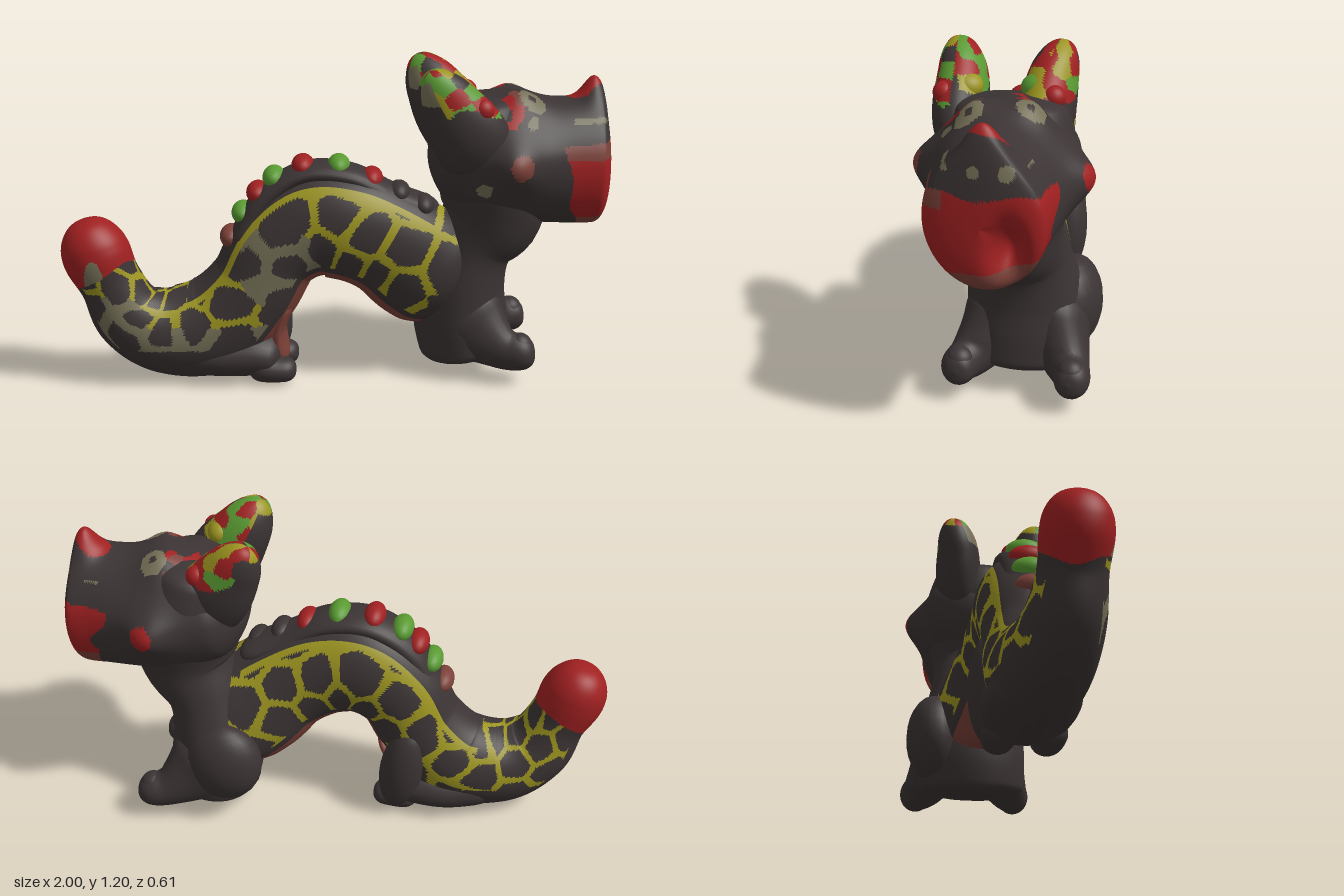
import * as THREE from 'three';

const palette = [
  ['charcoal', 0x3c3434], ['red', 0xa02021], ['yellow', 0x9d9520],
  ['green', 0x5a9a32], ['khaki', 0x757057], ['rust', 0x7c4138],
];
const [DARK, RED, YELLOW, GREEN, KHAKI, RUST] = [0, 1, 2, 3, 4, 5];

const hash = (i, j, k = 0) => {
  const s = Math.sin(i * 127.1 + j * 311.7 + k * 74.7) * 43758.5453;
  return s - Math.floor(s);
};
const bump = (a, b, ca, cb, ra, rb = ra) => Math.exp(-(((a - ca) / ra) ** 2) - ((b - cb) / rb) ** 2);
const spot = (a, b, ca, cb, ra, rb = ra) => ((a - ca) / ra) ** 2 + ((b - cb) / rb) ** 2 < 1;

// Smooth interpolation through stations [x, y, z, radius in the xy plane, radius in z]
function sample(st, t) {
  const n = st.length - 1, i = Math.min(Math.floor(t), n - 1), f = t - i;
  const [p, a, b, q] = [st[Math.max(i - 1, 0)], st[i], st[i + 1], st[Math.min(i + 2, n)]];
  return a.map((v, k) => v + 0.5 * f * (b[k] - p[k] +
    f * (2 * p[k] - 5 * v + 4 * b[k] - q[k] + f * (3 * (v - b[k]) + q[k] - p[k]))));
}

// Round-ended sweep of an ellipse through the stations; warp may move each vertex
function sweep(st, nu, nv, cap = 0.5, warp = null) {
  const n = st.length - 1, pos = [], idx = [], par = [];
  const round = (d) => (d >= cap ? 1 : Math.sqrt(Math.max(0, 1 - (1 - d / cap) ** 2)));
  for (let i = 0; i <= nu; i++) {
    // rows gather towards both ends so the caps stay round
    const s = i / nu, t = n * (s - 0.07 * Math.sin(2 * Math.PI * s));
    const c = sample(st, t);
    const p = sample(st, Math.max(t - 0.05, 0)), q = sample(st, Math.min(t + 0.05, n));
    const len = Math.hypot(q[0] - p[0], q[1] - p[1]);
    const tx = (q[0] - p[0]) / len, ty = (q[1] - p[1]) / len;
    const r = round(t) * round(n - t);
    for (let j = 0; j < nv; j++) {
      const a = (j / nv) * 2 * Math.PI - Math.PI, h = Math.cos(a) * c[3] * r;
      const v = new THREE.Vector3(c[0] - ty * h, c[1] + tx * h, c[2] + Math.sin(a) * c[4] * r);
      if (warp) warp(v);
      pos.push(v.x, v.y, v.z);
      par.push([t, a]);
      const k = (j + 1) % nv;
      if (i < nu) {
        const A = i * nv + j, B = i * nv + k;
        idx.push(A, B, A + nv, B, B + nv, A + nv);
      }
    }
  }
  const g = new THREE.BufferGeometry();
  g.setAttribute('position', new THREE.Float32BufferAttribute(pos, 3));
  g.setIndex(idx);
  g.computeVertexNormals();
  g.userData.par = par;
  return g;
}

// Sort faces into one material group per colour, chosen by rule(centre, t, angle)
function paint(g, rule) {
  const bins = palette.map(() => []), ix = g.index.array, P = g.attributes.position, par = g.userData.par;
  const v = new THREE.Vector3(), c = new THREE.Vector3();
  for (let f = 0; f < ix.length; f += 3) {
    const a0 = par[ix[f]][1];
    let t = 0, a = 0;
    c.set(0, 0, 0);
    for (let k = 0; k < 3; k++) {
      const [tk, ak] = par[ix[f + k]];
      c.addScaledVector(v.fromBufferAttribute(P, ix[f + k]), 1 / 3);
      t += tk / 3;
      a += (Math.abs(ak - a0) > 3 ? a0 : ak) / 3;
    }
    bins[rule(c, t, a)].push(ix[f], ix[f + 1], ix[f + 2]);
  }
  let start = 0;
  bins.forEach((b, m) => {
    if (b.length) g.addGroup(start, b.length, m);
    start += b.length;
  });
  g.setIndex(bins.flat());
  return g;
}

// Nearest of a field of jittered cells: border gap and a random value for the cell
function cell(u, v) {
  let d1 = 9, d2 = 9, id = 0;
  const iu = Math.floor(u), iv = Math.floor(v);
  for (let i = iu - 2; i <= iu + 2; i++) for (let j = iv - 2; j <= iv + 2; j++) {
    const d = Math.hypot(i + 0.5 * (j & 1) + 0.5 + 0.5 * (hash(i, j) - 0.5) - u,
      j + 0.5 + 0.5 * (hash(i, j, 5) - 0.5) - v);
    if (d < d1) { d2 = d1; d1 = d; id = hash(i, j, 9); } else if (d < d2) d2 = d;
  }
  return { gap: d2 - d1, id };
}

// Trunk colours: red tail tip, netted flanks, plain back and rust belly
function trunkColour(p, t, a) {
  const w = Math.abs(a);
  if (p.x < -0.73 && p.y > 0.38 + (p.x + 0.93) * 0.6 + 0.015 * Math.sin(p.z * 30)) {
    return p.z > 0.2 && spot(p.x, p.y, -0.865, 0.43, 0.035, 0.085) ? KHAKI : RED;
  }
  if (t > 5 && p.x > -0.27 && p.x < 0.36 && w > 2.45) {
    return w > 2.8 && Math.abs(p.x - 0.02) < 0.12 ? KHAKI : RUST;
  }
  if (p.y < 0.16 || p.x > 0.52 || (p.x > 0.34 && p.y < 0.36)) return DARK;
  if (t > 4.6 && p.x < 0.36) {
    if (w < 0.7) return DARK;
    if (w < 0.82) return YELLOW;
  }
  if (w > 2.3) return DARK;
  const { gap } = cell(t * 1.05, (a * 0.17) / 0.14 + 20);
  const worn = p.z > 0.1 && (spot(p.x, p.y, -0.2, 0.48, 0.15, 0.16) || spot(p.x, p.y, -0.8, 0.24, 0.12, 0.14) || p.y < 0.25);
  if (gap > (worn ? 0.27 : 0.17)) return DARK;
  return worn ? KHAKI : YELLOW;
}

// Head shaping: cheeks, brows, peaked nose, narrow crown and a hollow mouth
function shapeHead(v) {
  if (v.y > 0.9) v.z *= 1 - (v.y - 0.9) * 0.5;
  v.z += Math.sign(v.z) * Math.min(1, Math.abs(v.z) / 0.1) * 0.065 * bump(v.x, v.y, 0.64, 0.86, 0.09);
  if (v.y > 0.9) {
    const up = Math.min(1, (v.y - 0.9) / 0.1);
    v.y += up * (0.085 * bump(v.x, v.z, 0.935, -0.02, 0.05, 0.07) +
      0.025 * bump(v.x, v.z, 0.63, -0.1, 0.06) + 0.025 * bump(v.x, v.z, 0.67, 0.09, 0.06));
  }
  if (v.x > 0.85) v.x -= 0.08 * bump(v.y, v.z, 0.74, -0.1, 0.09, 0.05);
}

// Head colours: red mouth, cheeks and nose, pale eyes and blotches on the crown
function headColour(p) {
  const edge = 0.012 * Math.sin(p.z * 25 + p.y * 19);
  if (p.x > 0.81 + (0.92 - p.y) * 0.2 + edge && p.y < 0.92 + edge && p.z > -0.215 + edge) {
    if (p.y < 0.66 - p.z * 0.25 + edge) return p.y > 0.6 ? RUST : DARK;
    if (p.z > 0.1 && p.y > 0.87) return RUST;
    return RED;
  }
  if (p.y > 1.035 && spot(p.x, p.z, 0.9, -0.025, 0.062, 0.06)) return RED;
  if (spot(p.x, p.y, 0.655, 0.865, 0.042, 0.045)) return p.z > 0 ? RUST : RED;
  if (p.y > 0.98) {
    for (const [x, z] of [[0.65, -0.1], [0.7, 0.09]]) {
      if (spot(p.x, p.z, x, z, 0.014)) return DARK;
      if (spot(p.x, p.z, x, z, 0.047)) return KHAKI;
    }
    if (spot(p.x, p.z, 0.55, -0.08, 0.065, 0.1) || spot(p.x, p.z, 0.62, 0.13, 0.05, 0.07)) {
      const { id } = cell(p.x * 22, p.z * 22);
      return id < 0.5 ? RED : id < 0.75 ? RUST : DARK;
    }
    if (spot(p.x, p.z, 0.52, 0.17, 0.03, 0.05)) return KHAKI;
  }
  if (p.x > 0.85) {
    for (const [z, rz, ry] of [[0, 0.02, 0.02], [-0.1, 0.026, 0.025], [0.11, 0.03, 0.01], [-0.17, 0.025, 0.01]]) {
      if (spot(p.z, p.y, z, 1.0, rz, ry)) return KHAKI;
    }
  }
  return p.z > 0 && (spot(p.x, p.y, 0.53, 0.77, 0.028) || spot(p.x, p.y, 0.7, 1.0, 0.02)) ? KHAKI : DARK;
}

// Ears: bright blotches on the front and top, pale patch on the outer side
function earColour(p, t, a) {
  if (p.y < 1.05 + 0.02 * Math.sin(a * 4)) return DARK;
  if (Math.cos(a) > 0.2 && t < 2.7) return p.y > 1.08 && Math.sin(a) > 0.5 ? KHAKI : DARK;
  const { id } = cell(t * 2.2 + (p.z > 0 ? 0 : 7), a * 1.3 + 20);
  return id < 0.33 ? RED : id < 0.64 ? YELLOW : id < 0.9 ? GREEN : DARK;
}

export function createModel() {
  const group = new THREE.Group();
  const mats = palette.map(([name, color]) => {
    const m = new THREE.MeshStandardMaterial({ color });
    m.name = name;
    return m;
  });
  const add = (name, geometry, material) => {
    const mesh = new THREE.Mesh(geometry, material);
    mesh.name = name;
    group.add(mesh);
    return mesh;
  };
  const ball = new THREE.SphereGeometry(1, 22, 14);
  const blob = (name, m, x, y, z, rx, ry, rz, tilt = 0) => {
    const b = add(name, ball, mats[m]);
    b.position.set(x, y, z);
    b.scale.set(rx, ry, rz);
    b.rotation.z = tilt;
  };

  // Arched trunk from tail tip to shoulders
  add('trunk', paint(sweep([
    [-0.905, 0.64, 0.18, 0.095, 0.1], [-0.875, 0.51, 0.18, 0.125, 0.12], [-0.825, 0.39, 0.17, 0.115, 0.115],
    [-0.76, 0.26, 0.15, 0.14, 0.135], [-0.63, 0.19, 0.12, 0.17, 0.155], [-0.45, 0.21, 0.1, 0.19, 0.165],
    [-0.31, 0.35, 0.095, 0.175, 0.16], [-0.22, 0.51, 0.09, 0.18, 0.16], [-0.09, 0.6, 0.085, 0.205, 0.16],
    [0.05, 0.595, 0.085, 0.21, 0.165], [0.19, 0.53, 0.06, 0.21, 0.17], [0.32, 0.43, 0.02, 0.23, 0.185],
    [0.48, 0.31, -0.03, 0.22, 0.2],
  ], 260, 110, 0.8), trunkColour), mats);

  // Dorsal knobs on a low ridge
  [[-0.385, 0.56, RUST], [-0.34, 0.65, GREEN], [-0.285, 0.725, RED], [-0.225, 0.782, GREEN], [-0.12, 0.825, RED],
    [0.01, 0.825, GREEN], [0.13, 0.777, RED], [0.23, 0.725, DARK], [0.32, 0.675, DARK]].forEach(([x, y, m], i) => {
    const tilt = [1.1, 1, 0.9, 0.65, 0.25, -0.15, -0.4, -0.45, -0.4][i];
    blob('backKnob', m, x, y, 0.11 - i * 0.004, 0.042, 0.042, 0.07, tilt);
  });
  add('backRidge', sweep([[-0.38, 0.5, 0.11, 0.04, 0.09], [-0.27, 0.69, 0.1, 0.045, 0.09], [-0.12, 0.795, 0.09, 0.04, 0.09],
    [0.05, 0.79, 0.085, 0.04, 0.09], [0.2, 0.715, 0.07, 0.04, 0.09], [0.38, 0.64, 0.03, 0.04, 0.09]], 60, 24), mats[DARK]);

  // Chest and neck, flaring up into the back of the head
  add('chest', sweep([
    [0.5, 0.055, -0.03, 0.17, 0.2], [0.475, 0.2, -0.04, 0.18, 0.215], [0.475, 0.35, -0.035, 0.165, 0.205],
    [0.51, 0.5, -0.02, 0.155, 0.18], [0.575, 0.62, 0, 0.19, 0.185], [0.58, 0.77, 0, 0.205, 0.215],
    [0.53, 0.92, 0, 0.2, 0.22], [0.5, 1.07, 0, 0.15, 0.17],
  ], 60, 44, 0.4), mats[DARK]);

  // Front legs with pointed paws
  for (const [z, zt] of [[0.07, 0.15], [-0.16, -0.24]]) {
    add('frontLeg', sweep([[0.42, 0.32, z, 0.15, 0.11], [0.51, 0.21, z, 0.145, 0.11], [0.61, 0.14, (z + zt) / 2, 0.09, 0.09],
      [0.68, 0.125, zt, 0.07, 0.065], [0.745, 0.13, zt, 0.06, 0.055]], 30, 28, 0.8), mats[DARK]);
    blob('frontPaw', DARK, 0.685, 0.15, zt, 0.05, 0.05, 0.05);
  }
  blob('haunch', DARK, 0.41, 0.27, -0.19, 0.15, 0.17, 0.105);

  // Broad hind foot with two toes and a rust inner face
  add('hindFoot', sweep([[-0.66, 0.13, 0.11, 0.1, 0.12], [-0.45, 0.11, 0.09, 0.1, 0.165], [-0.3, 0.11, 0.085, 0.1, 0.16],
    [-0.2, 0.09, 0.085, 0.075, 0.14]], 30, 32, 0.6), mats[DARK]);
  for (const z of [0.17, 0.0]) {
    add('hindToe', sweep([[-0.32, 0.07, z, 0.065, 0.07], [-0.22, 0.055, z, 0.05, 0.062], [-0.145, 0.055, z, 0.045, 0.05]],
      20, 24, 0.7), mats[DARK]);
  }
  blob('hindThigh', DARK, -0.26, 0.22, -0.04, 0.085, 0.19, 0.07, 0.15);
  add('innerThigh', sweep([[-0.2, 0.06, 0.08, 0.035, 0.09], [-0.215, 0.2, 0.08, 0.03, 0.11],
    [-0.16, 0.33, 0.085, 0.03, 0.11]], 20, 24), mats[RUST]);

  // Head
  add('head', paint(sweep([
    [0.34, 0.89, 0, 0.12, 0.16], [0.45, 0.87, 0, 0.2, 0.22], [0.6, 0.845, 0, 0.25, 0.24], [0.75, 0.83, -0.01, 0.235, 0.225],
    [0.87, 0.825, -0.015, 0.235, 0.205], [0.95, 0.82, -0.02, 0.23, 0.195], [1.0, 0.82, -0.02, 0.21, 0.18],
  ], 130, 110, 0.95, shapeHead), headColour), mats);

  // Ears
  for (const [dx, z, s] of [[0.015, 0.195, 1], [-0.02, -0.105, -1]]) {
    add('ear', paint(sweep([[0.55, 0.82, z - s * 0.05, 0.14, 0.1], [0.45 + dx, 0.97, z - s * 0.01, 0.135, 0.095],
      [0.375 + dx, 1.085, z, 0.105, 0.085], [0.31 + dx, 1.195, z + s * 0.02, 0.06, 0.06]], 60, 56, 0.8), earColour), mats);
    blob('earKnob', s > 0 ? YELLOW : GREEN, 0.46 + dx, 1.075, z - s * 0.03, 0.05, 0.045, 0.06, -0.5);
    blob('earKnob', RED, 0.5 + dx, 1.06, z + s * 0.03, 0.04, 0.04, 0.04);
  }
  return group;
}
